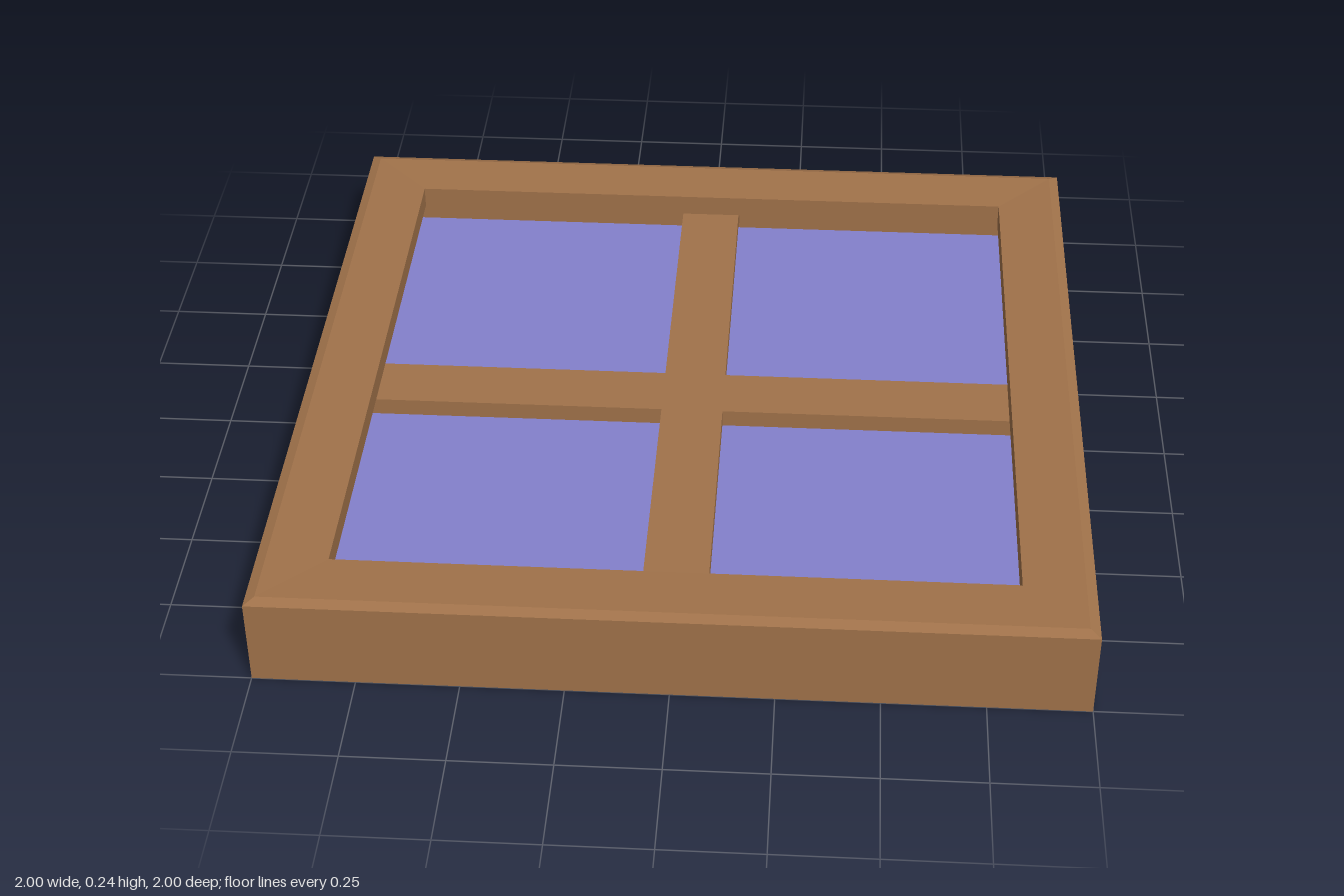
import * as THREE from 'three';

export function createModel() {
  const group = new THREE.Group();
  group.name = 'paneledWindow';

  const wood = new THREE.MeshStandardMaterial({ color: 0xa0724a, side: THREE.DoubleSide });
  wood.name = 'wood';
  const glass = new THREE.MeshStandardMaterial({ color: 0x8380cc });
  glass.name = 'glass';

  const add = (name, geometry, material, y = 0) => {
    const mesh = new THREE.Mesh(geometry, material);
    mesh.name = name;
    mesh.position.y = y;
    group.add(mesh);
  };

  // Hollow mitred frame: outer wall, bevelled top and short inner lip, swept round a square
  const profile = [[1, 0], [1, 0.227], [0.975, 0.237], [0.825, 0.232], [0.825, 0.175]]
    .map(([r, y]) => new THREE.Vector2(r * Math.SQRT2, y));
  const frame = new THREE.LatheGeometry(profile, 4, Math.PI / 4).toNonIndexed();
  frame.computeVertexNormals();
  add('frame', frame, wood);

  // Crossing bars, reaching in under the lip
  const barHeight = 0.085, barWidth = 0.16, barLength = 1.87, barY = 0.108;
  add('lengthwiseBar', new THREE.BoxGeometry(barWidth, barHeight, barLength), wood, barY);
  const half = (barLength - barWidth) / 2;
  for (const side of [-1, 1]) {
    const bar = new THREE.BoxGeometry(half, barHeight, barWidth);
    bar.translate(side * (barWidth + half) / 2, 0, 0);
    add(side > 0 ? 'leftCrossBar' : 'rightCrossBar', bar, wood, barY);
  }

  // Four panes between the bars
  const inner = barWidth / 2, outer = 0.87;
  for (const sx of [-1, 1]) {
    for (const sz of [-1, 1]) {
      const pane = new THREE.BoxGeometry(outer - inner, 0.009, outer - inner);
      pane.translate(sx * (outer + inner) / 2, 0, sz * (outer + inner) / 2);
      add(`${sz > 0 ? 'front' : 'back'}${sx > 0 ? 'Left' : 'Right'}Pane`, pane, glass, 0.1);
    }
  }

  return group;
}
